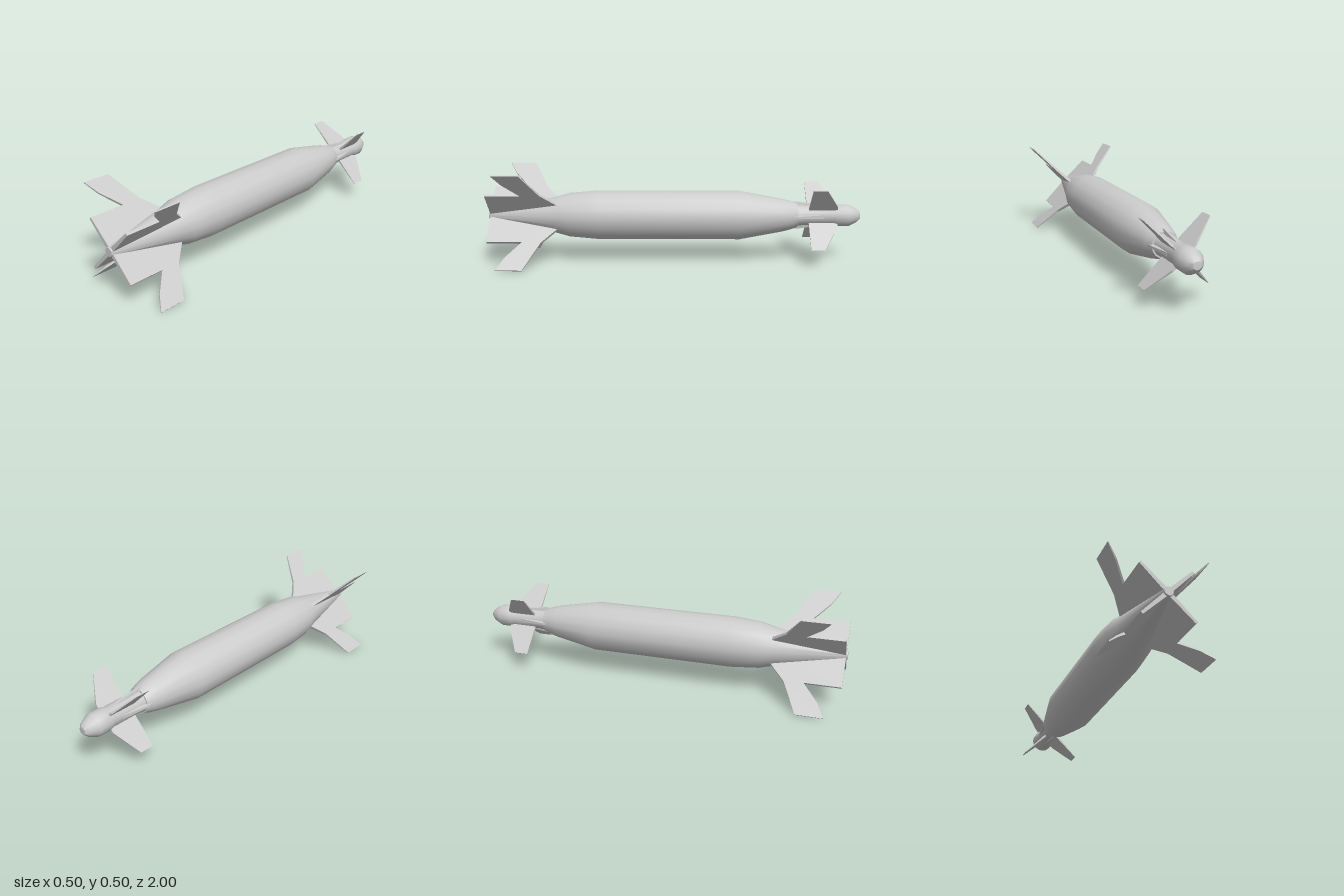
import * as THREE from 'three';
import { toCreasedNormals } from 'three/addons/utils/BufferGeometryUtils.js';

const material = new THREE.MeshStandardMaterial({ color: 0xcccccc });
const AXIS = 0.251;

// Flat blade outlined by [radius, z] pairs, thinning towards its outer edge
function blade(outline, thickness) {
  const shape = new THREE.Shape(outline.map(([r, z]) => new THREE.Vector2(r, z)));
  const geo = new THREE.ExtrudeGeometry(shape, { depth: 1, bevelEnabled: false });
  const reach = Math.max(...outline.map(([r]) => r));
  const pos = geo.attributes.position;
  for (let i = 0; i < pos.count; i++) {
    const taper = 1 - 0.75 * (pos.getX(i) / reach);
    pos.setZ(i, (pos.getZ(i) - 0.5) * thickness * taper);
  }
  geo.rotateX(Math.PI / 2);
  geo.computeVertexNormals();
  return geo;
}

// Four copies of a blade spaced around the long axis
function ring(name, geo, startAngle) {
  const group = new THREE.Group();
  group.name = name + 's';
  for (let i = 0; i < 4; i++) {
    const mesh = new THREE.Mesh(geo, material);
    mesh.name = name;
    mesh.rotation.z = startAngle + (i * Math.PI) / 2;
    group.add(mesh);
  }
  group.position.y = AXIS;
  return group;
}

// Sixteen-sided turned part along z from [radius, z] pairs
function turned(name, profile) {
  const geo = new THREE.LatheGeometry(profile.map(([r, z]) => new THREE.Vector2(r, z)), 16);
  geo.rotateX(Math.PI / 2);
  const mesh = new THREE.Mesh(toCreasedNormals(geo, 0.6), material);
  mesh.name = name;
  mesh.position.y = AXIS;
  return mesh;
}

export function createModel() {
  const model = new THREE.Group();
  model.name = 'finnedBody';

  // Main casing with tapered shoulder and tail cone
  model.add(turned('casing', [
    [0, -0.66], [0.066, -0.66], [0.08, -0.62], [0.09, -0.58], [0.133, -0.35],
    [0.133, 0.41], [0.12, 0.56], [0.098, 0.64], [0.022, 1], [0, 1],
  ]));

  // Slim neck and rounded nose
  model.add(turned('nose', [
    [0, -1], [0.02, -0.998], [0.038, -0.98], [0.06, -0.935], [0.06, -0.87],
    [0.054, -0.85], [0.054, -0.7], [0.06, -0.64], [0, -0.64],
  ]));

  // Swept tail fins, each with a stepped inner panel and an outer blade
  const tail = blade([
    [0.015, 0.63], [0.1, 0.625], [0.185, 0.705], [0.35, 0.785], [0.35, 0.925],
    [0.275, 0.885], [0.18, 0.805], [0.18, 0.992], [0.015, 0.992],
  ], 0.022);
  model.add(ring('tailFin', tail, Math.PI / 4));

  // Small steering fins near the nose
  const canard = blade([
    [0.03, -0.875], [0.08, -0.87], [0.222, -0.795], [0.222, -0.72], [0.03, -0.72],
  ], 0.014);
  model.add(ring('noseFin', canard, Math.PI / 4));

  // Low ridges where the neck joins the shoulder
  const ridge = blade([[0.03, -0.8], [0.054, -0.8], [0.074, -0.66], [0.074, -0.62], [0.03, -0.62]], 0.04);
  model.add(ring('neckRidge', ridge, 0));

  return model;
}
